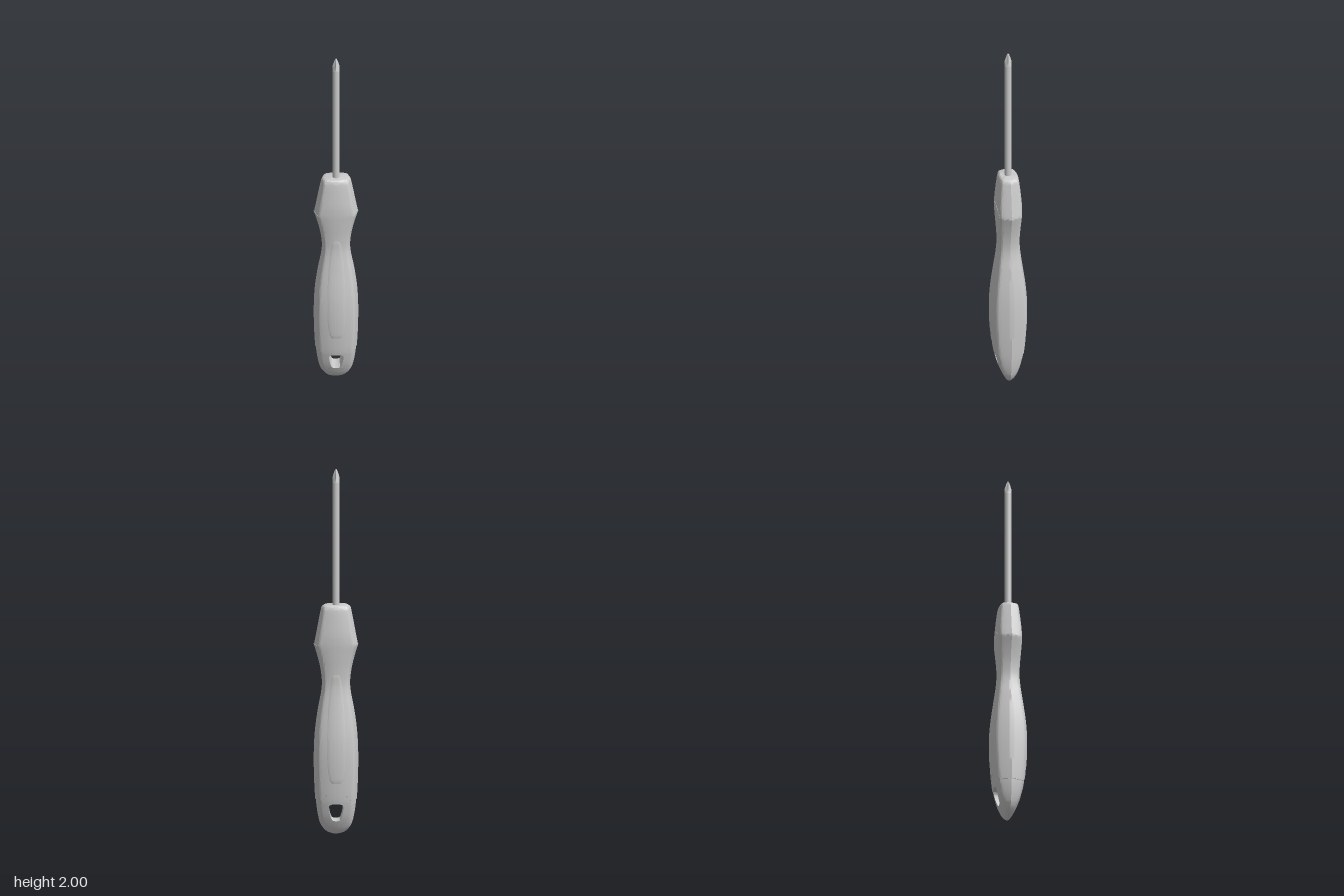
import * as THREE from 'three';
import { toCreasedNormals } from 'three/addons/utils/BufferGeometryUtils.js';

const V2 = (x, y) => new THREE.Vector2(x, y);
const V3 = (p) => new THREE.Vector3(...p);
const lerp = THREE.MathUtils.lerp;

// Quarter of the six-sided handle section, from the side ridge to the middle of the front
const QUARTER = new THREE.SplineCurve([
  V2(1, 0), V2(0.92, 0.38), V2(0.84, 0.7), V2(0.78, 0.8), V2(0.68, 0.86), V2(0.35, 0.96), V2(0, 1),
]).getPoints(24);

// Handle profile: [half width, height, half depth]; the two curves meet at a sharp shoulder
const PROFILE = [
  [[0.02, 0, 0.004], [0.045, 0.008, 0.012], [0.062, 0.02, 0.022], [0.085, 0.05, 0.039], [0.1, 0.1, 0.061],
    [0.108, 0.15, 0.075], [0.112, 0.19, 0.084], [0.118, 0.3, 0.095], [0.12, 0.42, 0.1], [0.117, 0.52, 0.097],
    [0.11, 0.6, 0.089], [0.095, 0.7, 0.075], [0.08, 0.78, 0.064], [0.076, 0.83, 0.06], [0.083, 0.9, 0.062],
    [0.099, 0.97, 0.067], [0.12, 1.04, 0.072]],
  [[0.12, 1.04, 0.072], [0.11, 1.09, 0.072], [0.097, 1.16, 0.066], [0.084, 1.225, 0.058],
    [0.08, 1.243, 0.054], [0.073, 1.251, 0.049], [0.063, 1.255, 0.043]],
].flatMap((points) => new THREE.CatmullRomCurve3(points.map(V3)).getPoints(160));

// Linear lookup in a list sorted upwards by key
function lookup(list, key, at, value) {
  let i = 1;
  while (i < list.length - 1 && list[i][key] < at) i++;
  const a = list[i - 1], b = list[i];
  const t = b[key] === a[key] ? 0 : THREE.MathUtils.clamp((at - a[key]) / (b[key] - a[key]), 0, 1);
  return lerp(a[value], b[value], t);
}
const halfWidth = (y) => lookup(PROFILE, 'y', y, 'x');
const halfDepth = (y) => lookup(PROFILE, 'y', y, 'z');
const SECTION = [...QUARTER].reverse();
const bulge = (u) => lookup(SECTION, 'x', u, 'y');

function toGeometry(positions, index, crease) {
  const g = new THREE.BufferGeometry();
  g.setAttribute('position', new THREE.Float32BufferAttribute(positions, 3));
  g.setIndex(index);
  return toCreasedNormals(g, crease);
}

// Rows of the handle: height, half width of the hanging hole, rise at the middle, scale
function handleRows() {
  const rows = [];
  const add = (y, hole = 0, rise = 0, scale = 1) => rows.push({ y, hole, rise, scale });
  const span = (from, to, n, riseA, riseB, scale) => {
    for (let i = 0; i <= n; i++) add(lerp(from, to, i / n), 0, lerp(riseA, riseB, i / n), scale);
  };
  // Butt with the hanging hole
  add(0, 0, 0, 0);
  for (const y of [0, 0.004, 0.008, 0.014, 0.02, 0.03, 0.04, 0.05, 0.06, 0.07]) add(y, 0, 0, 0.97);
  for (const [y, hole] of [[0.075, 0], [0.0755, 0.012], [0.079, 0.02], [0.086, 0.025], [0.1, 0.03], [0.12, 0.035],
    [0.145, 0.039], [0.158, 0.039], [0.167, 0.035], [0.171, 0.026], [0.1725, 0.014], [0.173, 0]]) add(y, hole, 0, 0.97);
  span(0.176, 0.19, 5, 0.003, 0.055, 0.97);
  // Grip, between the two arched seams
  span(0.19, 0.6, 24, 0.055, 0, 1);
  span(0.61, 1.04, 32, 0, 0.05, 1);
  // Tapered nose with a rounded rim and a flat top
  span(1.04, 1.24, 16, 0.05, 0, 0.985);
  for (const y of [1.243, 1.247, 1.251, 1.253, 1.255]) add(y, 0, 0, 0.985);
  add(1.255, 0, 0, 0);
  return rows;
}

function handleGeometry() {
  const rows = handleRows(), positions = [], index = [];
  const us = QUARTER.map((p) => p.x);
  const n = us.length * 2 - 1;
  for (const side of [1, -1]) {
    const base = positions.length / 3;
    rows.forEach(({ y, hole, rise, scale }, r) => {
      // Half ring from the front middle around the ridge to the back middle
      for (let j = 0; j < n; j++) {
        const k = j - (us.length - 1);
        const s = us[Math.abs(us.length - 1 - j) > us.length - 1 ? 0 : Math.abs(k)];
        const yy = y + rise * (1 - THREE.MathUtils.smoothstep(s, 0.2, 0.78));
        const w = halfWidth(yy) * scale;
        const u = hole ? lerp(hole / w, 1, s) : s;
        positions.push(side * w * u, yy, -Math.sign(k) * halfDepth(yy) * scale * bulge(u));
      }
      if (r === 0) return;
      const open = hole > 0 || rows[r - 1].hole > 0;
      for (let j = 0; j < (open ? n : n - 1); j++) {
        const a = base + (r - 1) * n + j, b = base + (r - 1) * n + (j + 1) % n;
        const c = b + n, d = a + n;
        index.push(...(side > 0 ? [a, b, c, a, c, d] : [a, c, b, a, d, c]));
      }
    });
  }
  return toGeometry(positions, index, 0.5);
}

// Slightly raised pad that follows the front of the grip
function padGeometry() {
  const positions = [], index = [], m = 16, n = 40;
  for (let i = 0; i <= n; i++) {
    const a = (i / n) * Math.PI;
    const y = 0.585 - 0.3 * Math.cos(a);
    const w = lerp(0.068, 0.036, i / n) * Math.pow(Math.sin(a), 0.55);
    for (let j = 0; j <= m; j++) {
      const s = (j / m) * 2 - 1, x = s * w;
      const edge = Math.max(Math.abs(s) ** 6, Math.abs(Math.cos(a)) ** 30);
      const z = halfDepth(y) * bulge(Math.abs(x) / halfWidth(y)) + lerp(0.002, -0.001, edge);
      positions.push(x, y, z);
      if (i < n && j < m) {
        const p = i * (m + 1) + j, q = p + m + 1;
        index.push(p, p + 1, q + 1, p, q + 1, q);
      }
    }
  }
  return toGeometry(positions, index, 0.6);
}

// Cross-shaped tip: four flutes cut deeper towards the point
function tipGeometry() {
  const rows = [[1.925, 0.019, 0], [1.94, 0.019, 0.2], [1.955, 0.0185, 0.42], [1.975, 0.0125, 0.5], [1.993, 0.006, 0.45], [2, 0, 0]];
  const positions = [], index = [], n = 32;
  rows.forEach(([y, radius, cut], r) => {
    for (let j = 0; j < n; j++) {
      const a = (j / n) * Math.PI * 2;
      const rad = radius * (1 - cut * Math.abs(Math.sin(2 * a)) ** 0.8);
      positions.push(rad * Math.sin(a), y, rad * Math.cos(a));
      if (r === 0) continue;
      const p = (r - 1) * n + j, q = (r - 1) * n + (j + 1) % n;
      index.push(p, q, q + n, p, q + n, p + n);
    }
  });
  return toGeometry(positions, index, 0.5);
}

export function createModel() {
  const group = new THREE.Group();
  group.name = 'screwdriver';
  const material = new THREE.MeshStandardMaterial({ color: 0xcccccc });
  const add = (name, geometry) => {
    const mesh = new THREE.Mesh(geometry, material);
    mesh.name = name;
    group.add(mesh);
    return mesh;
  };

  add('handle', handleGeometry());

  // Grip pads on the front and back
  const pad = padGeometry();
  add('frontGripPad', pad);
  add('backGripPad', pad).rotation.y = Math.PI;

  // Shaft and tip
  add('shaft', new THREE.CylinderGeometry(0.019, 0.019, 0.685, 32, 1, true)).position.y = 1.5825;
  add('crossTip', tipGeometry());
  return group;
}
